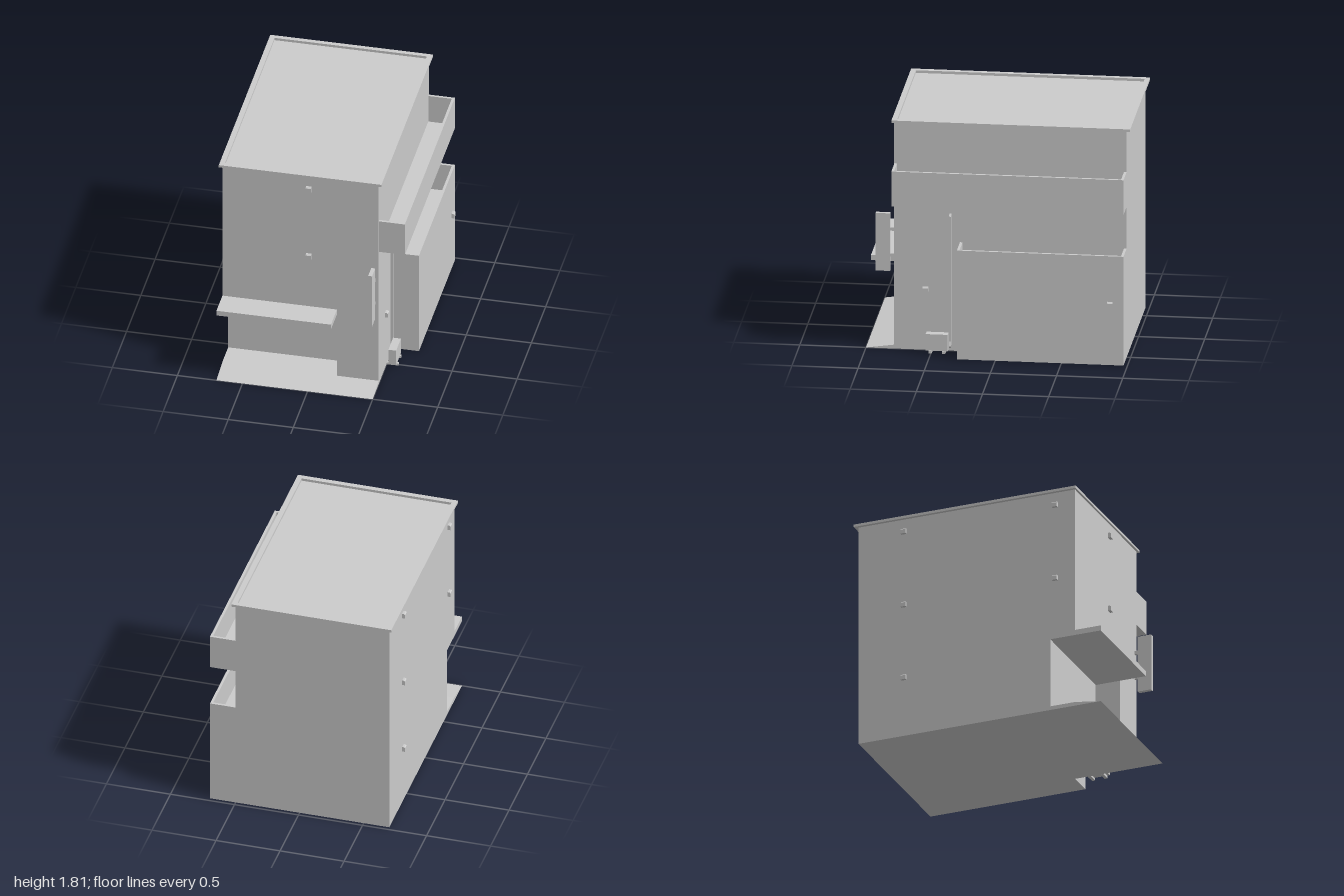
import * as THREE from 'three';

const grey = new THREE.MeshStandardMaterial({ color: 0xcccccc, flatShading: true });

function add(parent, name, geometry) {
  const mesh = new THREE.Mesh(geometry, grey);
  mesh.name = name;
  parent.add(mesh);
  return mesh;
}

// Box given by its limits on each axis
function box(parent, name, [x0, x1], [y0, y1], [z0, z1]) {
  const g = new THREE.BoxGeometry(x1 - x0, y1 - y0, z1 - z0);
  g.translate((x0 + x1) / 2, (y0 + y1) / 2, (z0 + z1) / 2);
  return add(parent, name, g);
}

const toShape = (pts) => new THREE.Shape(pts.map(([a, b]) => new THREE.Vector2(a, b)));
const rect = ([x0, x1], [z0, z1]) => [[x0, z0], [x1, z0], [x1, z1], [x0, z1]];

// Footprint in x and z raised from y0 to y1, with an optional hole
function raise(parent, name, outline, [y0, y1], hole) {
  const shape = toShape(outline);
  if (hole) shape.holes.push(toShape(hole));
  const g = new THREE.ExtrudeGeometry(shape, { depth: y1 - y0, bevelEnabled: false });
  g.rotateX(Math.PI / 2).translate(0, y1, 0);
  return add(parent, name, g);
}

// Profile (outward, up) swept sideways and centred on its width
function prism(profile, width) {
  const g = new THREE.ExtrudeGeometry(toShape(profile), { depth: width, bevelEnabled: false });
  return g.translate(0, 0, -width / 2);
}

export function createModel() {
  const model = new THREE.Group();
  model.name = 'building';
  const FRONT = -Math.PI / 2, LEFT = 0, RIGHT = Math.PI;

  // Main block with an open recess at the shop front
  raise(model, 'groundFloor', [[-0.7, -0.97], [0.5, -0.97], [0.5, 0.79],
    [0.18, 0.79], [0.18, 0.59], [-0.7, 0.59]], [0, 0.585]);
  box(model, 'upperFloors', [-0.7, 0.5], [0.585, 1.79], [-0.97, 0.79]);

  // Roof rim around a flat roof
  raise(model, 'roofRim', rect([-0.725, 0.525], [-1, 0.805]), [1.79, 1.81],
    rect([-0.685, 0.485], [-0.965, 0.765]));

  // Entrance platform, ramp and canopy
  box(model, 'entrancePlatform', [-0.7, 0.18], [0, 0.03], [0.59, 0.79]);
  const ramp = add(model, 'entranceRamp', prism([[0.79, 0], [1, 0], [0.79, 0.03]], 1.2));
  ramp.rotation.y = FRONT;
  ramp.position.x = -0.1;
  box(model, 'canopy', [-0.7, 0.18], [0.585, 0.627], [0.79, 1]);

  // Side annex with a terrace on top, and the balcony above it
  function terrace(name, bottom, floor, top, z0, z1) {
    const g = new THREE.Group();
    g.name = name;
    box(g, 'base', [0.5, 0.7], [bottom, floor], [z0, z1]);
    raise(g, 'parapet', [[0.5, z0], [0.7, z0], [0.7, z1], [0.5, z1], [0.5, z1 - 0.02],
      [0.68, z1 - 0.02], [0.68, z0 + 0.02], [0.5, z0 + 0.02]], [floor, top]);
    model.add(g);
  }
  terrace('annex', 0, 0.63, 0.86, -0.97, 0.29);
  terrace('balcony', 1.19, 1.235, 1.465, -0.97, 0.785);

  // Blade sign with two brackets
  box(model, 'bladeSign', [0.45, 0.48], [0.605, 1.06], [0.82, 0.93]);
  for (const y of [0.73, 0.935]) {
    box(model, 'signBracket', [0.455, 0.475], [y - 0.013, y + 0.013], [0.79, 0.82]);
  }

  // Small wall vents with sloping hoods
  const ventGeometry = prism([[0, -0.02], [0.023, -0.02], [0.023, 0.012], [0.015, 0.02], [0, 0.02]], 0.042);
  const vents = [
    [-0.035, 1.688, 0.79, FRONT], [-0.035, 1.083, 0.79, FRONT],
    [0.5, 0.48, 0.55, LEFT], [0.7, 0.48, -0.867, LEFT],
  ];
  for (const y of [0.48, 1.083, 1.688]) vents.push([-0.7, y, -0.6, RIGHT]);
  for (const y of [1.083, 1.688]) vents.push([-0.7, y, 0.63, RIGHT]);
  for (const [x, y, z, turn] of vents) {
    const vent = add(model, 'wallVent', ventGeometry);
    vent.position.set(x, y, z);
    vent.rotation.y = turn;
  }

  // Conduit running up the wall, bent into it at the top and out at the foot
  const conduit = add(model, 'conduit', prism([[0.5, 0.08], [0.505, 0.06], [0.525, 0.03],
    [0.535, 0.045], [0.52, 0.08], [0.52, 1.065], [0.5, 1.083]], 0.016));
  conduit.position.z = 0.362;

  // Outdoor cooling unit on two feet
  box(model, 'coolingUnit', [0.52, 0.58], [0.02, 0.15], [0.373, 0.54]);
  for (const z of [0.403, 0.505]) {
    box(model, 'coolingUnitFoot', [0.505, 0.59], [0.002, 0.02], [z - 0.012, z + 0.012]);
  }
  return model;
}
